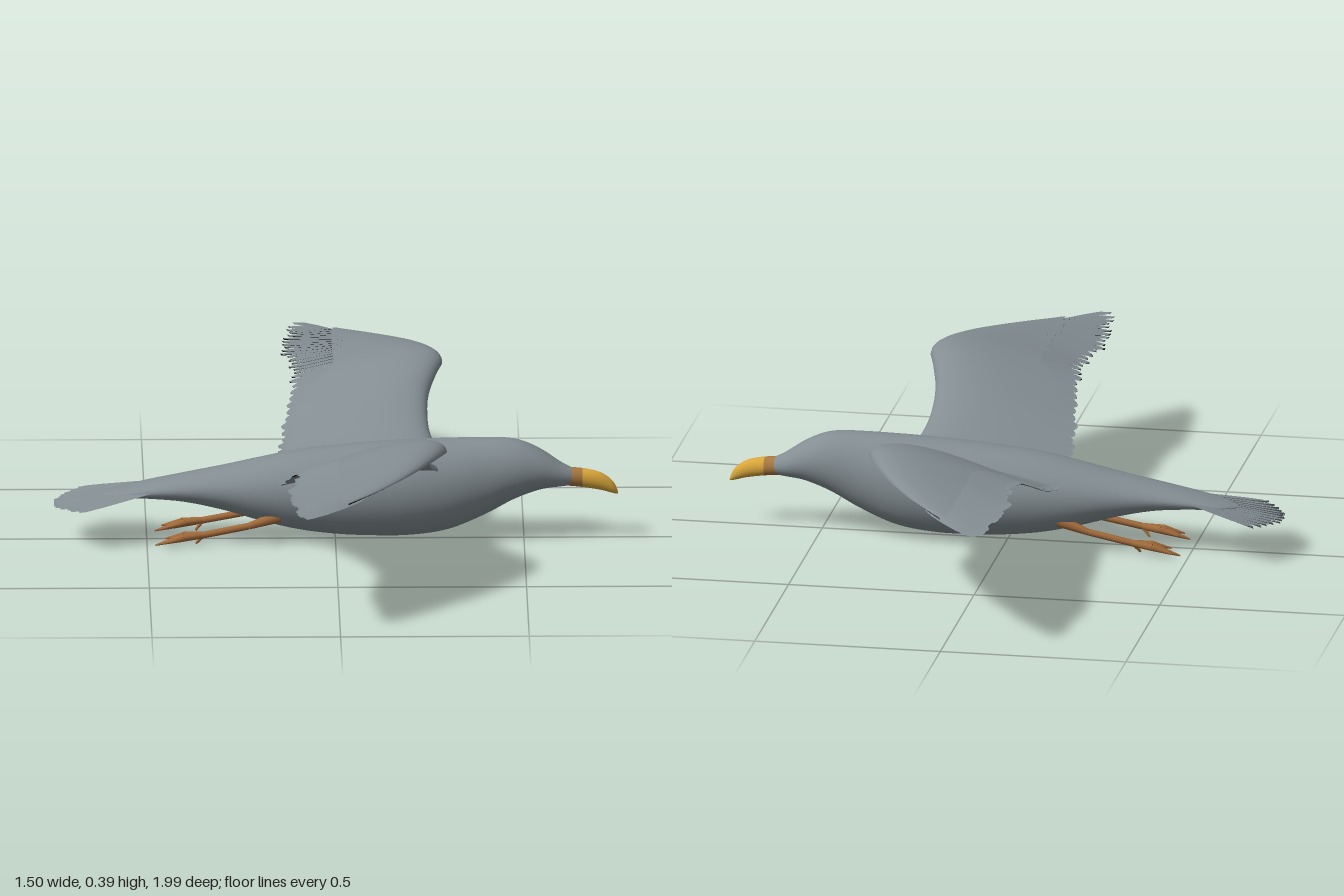
import * as THREE from 'three';
import { mergeGeometries } from 'three/addons/utils/BufferGeometryUtils.js';

const mat = (name, color) => {
  const m = new THREE.MeshStandardMaterial({ color });
  m.name = name;
  return m;
};

// Smooth lookup in a table whose first column is the parameter
function sample(table, t) {
  const n = table.length;
  let i = 0;
  while (i < n - 2 && t > table[i + 1][0]) i++;
  const a = table[i], b = table[i + 1], p = table[Math.max(i - 1, 0)], q = table[Math.min(i + 2, n - 1)];
  const d = b[0] - a[0], u = THREE.MathUtils.clamp((t - a[0]) / d, 0, 1);
  return a.map((v, k) => {
    const m0 = (b[k] - p[k]) / (b[0] - p[0]) * d, m1 = (q[k] - v) / (q[0] - a[0]) * d;
    return (2 * u ** 3 - 3 * u * u + 1) * v + (u ** 3 - 2 * u * u + u) * m0
      + (3 * u * u - 2 * u ** 3) * b[k] + (u ** 3 - u * u) * m1;
  });
}

// Surface through rows of points
function grid(rows, flip = false, wrap = false) {
  const w = rows[0].length, index = [];
  for (let i = 0; i < rows.length - 1; i++) {
    for (let j = 0; j < (wrap ? w : w - 1); j++) {
      const k = (j + 1) % w, a = i * w + j, b = i * w + k, c = a + w, d = b + w;
      if (flip) index.push(a, c, b, b, c, d);
      else index.push(a, b, c, b, d, c);
    }
  }
  const g = new THREE.BufferGeometry();
  g.setAttribute('position', new THREE.Float32BufferAttribute(rows.flat(2), 3));
  g.setIndex(index);
  g.computeVertexNormals();
  return g;
}

// Elliptical loft along x; table columns: x, bottom, top, half width
function loft(table, x0, x1, n) {
  const rows = [];
  for (let i = 0; i <= n; i++) {
    const x = x0 + (x1 - x0) * i / n, [, lo, hi, w] = sample(table, x);
    const ring = [];
    for (let j = 0; j < 32; j++) {
      const a = j / 32 * Math.PI * 2;
      ring.push([x, (lo + hi) / 2 + (hi - lo) / 2 * Math.cos(a), w * Math.sin(a)]);
    }
    rows.push(ring);
  }
  return grid(rows, false, true);
}

const BODY = [
  [-0.62, 0.128, 0.134, 0.01], [-0.58, 0.125, 0.145, 0.045], [-0.5, 0.122, 0.165, 0.058],
  [-0.4, 0.112, 0.186, 0.068], [-0.3, 0.09, 0.206, 0.08], [-0.2, 0.06, 0.228, 0.096],
  [-0.1, 0.036, 0.248, 0.108], [0, 0.023, 0.26, 0.115], [0.1, 0.018, 0.269, 0.117],
  [0.2, 0.019, 0.275, 0.112], [0.3, 0.034, 0.279, 0.098], [0.4, 0.075, 0.281, 0.08],
  [0.46, 0.108, 0.279, 0.072], [0.5, 0.126, 0.27, 0.066], [0.55, 0.142, 0.246, 0.054],
  [0.6, 0.148, 0.212, 0.036], [0.63, 0.152, 0.197, 0.024]];
const BEAK = [
  [0.59, 0.152, 0.2, 0.03], [0.65, 0.146, 0.197, 0.023], [0.7, 0.138, 0.186, 0.018],
  [0.73, 0.13, 0.167, 0.012], [0.745, 0.126, 0.146, 0.006], [0.75, 0.127, 0.131, 0.001]];

// z, leading x, trailing x, leading y, trailing y, camber, covert edge x
const WING = [
  [0, 0.28, -0.14, 0.2, 0.185, 0.03, -0.13], [0.1, 0.27, -0.145, 0.215, 0.19, 0.04, -0.13],
  [0.2, 0.25, -0.14, 0.255, 0.215, 0.042, -0.12], [0.3, 0.25, -0.13, 0.31, 0.255, 0.045, -0.1],
  [0.4, 0.275, -0.115, 0.352, 0.295, 0.044, -0.06], [0.45, 0.29, -0.11, 0.365, 0.31, 0.043, -0.025],
  [0.5, 0.28, -0.105, 0.37, 0.32, 0.04, 0], [0.6, 0.235, -0.11, 0.368, 0.325, 0.029, 0],
  [0.7, 0.175, -0.13, 0.36, 0.327, 0.019, 0], [0.8, 0.1, -0.14, 0.35, 0.328, 0.011, 0],
  [0.9, 0.01, -0.13, 0.34, 0.328, 0.005, 0], [1, -0.07, -0.12, 0.336, 0.33, 0, -0.08]];

function wingY(x, z) {
  const [, le, te, yl, yt, c] = sample(WING, z);
  const s = THREE.MathUtils.clamp((le - x) / (le - te), 0, 1);
  return yl + (yt - yl) * s + c * Math.sin(Math.PI * Math.sqrt(s));
}

// Upper or lower skin of the wing between two spans
function wingSkin(side, z0, z1, lower) {
  const rows = [], n = Math.ceil((z1 - z0) * 45);
  for (let i = 0; i <= n; i++) {
    const z = z0 + (z1 - z0) * i / n, r = sample(WING, z), row = [];
    for (let j = 0; j <= 16; j++) {
      const u = (j / 16) ** 2, x = r[1] + (r[6] - r[1]) * u;
      const thick = lower ? (0.034 - 0.03 * z) * Math.sin(Math.PI * Math.sqrt(u)) + 0.003 * u : 0;
      row.push([x, wingY(x, z) - thick, side * z]);
    }
    rows.push(row);
  }
  return grid(rows, (side < 0) !== lower);
}

// Thin feather from (x0,z0) to (x1,z1) lying on a height rule
function feather(side, x0, z0, x1, z1, half, height, lower) {
  const dx = x1 - x0, dz = z1 - z0, len = Math.hypot(dx, dz);
  const shape = [[0, 0.7], [0.25, 0.95], [0.5, 1], [0.75, 1], [0.93, 0.8], [1, 0.35]];
  const rows = shape.map(([t, w]) => [-1, 0, 1].map(v => {
    const x = x0 + dx * t - dz / len * v * w * half, z = z0 + dz * t + dx / len * v * w * half;
    const y = height(x, z) - 0.003 + v * 0.003 - (lower ? 0.005 * (1 - Math.abs(v)) : 0);
    return [x, y, side * z];
  }));
  return grid(rows, (side < 0) !== lower);
}

function rod(a, b, r0, r1) {
  const from = new THREE.Vector3(...a), dir = new THREE.Vector3(...b).sub(from);
  const g = new THREE.CylinderGeometry(r1, r0, dir.length(), 10);
  g.applyQuaternion(new THREE.Quaternion().setFromUnitVectors(new THREE.Vector3(0, 1, 0), dir.clone().normalize()));
  return g.translate(...from.addScaledVector(dir, 0.5).toArray());
}

export function createModel() {
  const grey = mat('grey plumage', 0x838d92), black = mat('black plumage', 0x202021);
  const yellow = mat('yellow beak', 0xd9a63a), tan = mat('tan beak base', 0xa87840);
  const brown = mat('brown legs', 0xa06a3a);
  const bird = new THREE.Group();
  bird.name = 'bird';
  const add = (name, geo, material, parent = bird) => {
    const m = new THREE.Mesh(Array.isArray(geo) ? mergeGeometries(geo) : geo, material);
    m.name = name;
    parent.add(m);
  };
  let seed = 7;
  const rnd = () => (seed = (seed * 16807) % 2147483647) / 2147483647 - 0.5;

  add('body', loft(BODY, -0.62, 0.63, 70), grey);
  add('beakBase', loft(BEAK, 0.59, 0.655, 6), tan);
  add('beak', loft(BEAK, 0.655, 0.75, 14), yellow);

  // Feather layout shared by both wings: x0, z0, x1, z1, half width
  const plumes = [];
  for (let i = 0; i < 20; i++) {
    const z = 0.1 + i * 0.0275, r = sample(WING, z);
    plumes.push([r[6] + 0.045, z - 0.015, r[2] + rnd() * 0.018, z + 0.01, 0.022]);
  }
  for (let i = 0; i < 13; i++) {
    const k = i / 12, z = 0.64 + 0.35 * k;
    plumes.push([0.03 + 0.045 * k, 0.6 + 0.2 * k, sample(WING, z)[2] + 0.02 * k + rnd() * 0.02, z, 0.023]);
  }

  for (const side of [1, -1]) {
    const wing = new THREE.Group();
    wing.name = side > 0 ? 'leftWing' : 'rightWing';
    bird.add(wing);
    const dark = p => p[3] > 0.68 || (p[3] > 0.33 && p[3] < 0.5);
    const make = (list, lower) => list.map(p => feather(side, ...p, wingY, lower));
    add('wingTop', wingSkin(side, 0, 0.885, false), grey, wing);
    add('wingUnderside', wingSkin(side, 0, 0.7, true), grey, wing);
    add('wingTipUnderside', wingSkin(side, 0.7, 0.885, true), black, wing);
    add('feathersTop', make(plumes, false), grey, wing);
    add('feathersUnderside', make(plumes.filter(p => !dark(p)), true), grey, wing);
    add('darkFeathersUnderside', make(plumes.filter(dark), true), black, wing);

    // Trailing leg with three slim toes and a hind toe
    const foot = [-0.35, 0.037, side * 0.075];
    const parts = [rod([-0.15, 0.085, side * 0.065], [-0.23, 0.06, side * 0.072], 0.017, 0.009),
      rod([-0.23, 0.06, side * 0.072], foot, 0.009, 0.009),
      rod(foot, [-0.37, 0.012, side * 0.066], 0.006, 0.003)];
    [[-0.45, 0.022, 0.052], [-0.478, 0.009, 0.073], [-0.46, 0.018, 0.094]].forEach(([x, y, z]) => {
      const mid = [(foot[0] + x) / 2, (foot[1] + y) / 2 + 0.004, side * (0.075 + z) / 2];
      parts.push(rod(foot, mid, 0.009, 0.01), rod(mid, [x, y, side * z], 0.01, 0.002));
    });
    add(side > 0 ? 'leftLeg' : 'rightLeg', parts, brown);
  }

  // Fan of tail feathers
  const tailY = (x, z) => 0.11 + (x + 0.75) * 0.17 - Math.abs(z) * 0.04;
  const tail = [];
  for (let i = -6; i <= 6; i++) {
    const k = i / 6;
    for (const lower of [false, true]) {
      tail.push(feather(1, -0.46, k * 0.03, -0.745 + 0.065 * k * k + rnd() * 0.01, k * 0.115, 0.019, tailY, lower));
    }
  }
  add('tail', tail, grey);
  return bird;
}
